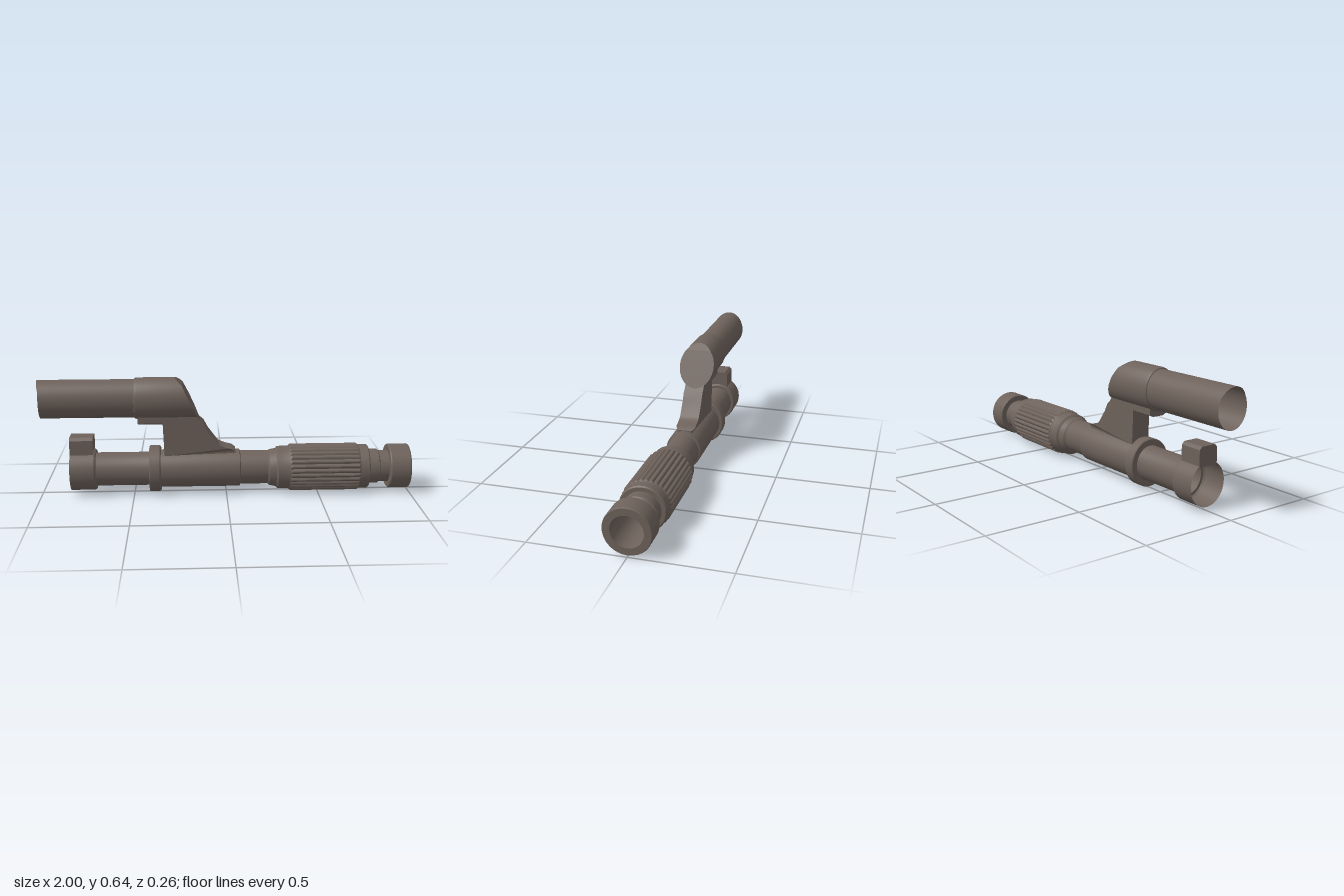
import * as THREE from 'three';
import { toCreasedNormals } from 'three/addons/utils/BufferGeometryUtils.js';

const AXIS_Y = 0.13;      // front tube axis
const REAR_Y = 0.133;     // rear tube axis
const UPPER_Y = 0.527;    // upper tube axis
const SLEEVE_R = 0.112;
const UPPER_WIDTH = 0.862; // width to height of the oval upper tube
const REAR_WIDTH = 0.935;  // width to height of the oval rear tube
const material = new THREE.MeshStandardMaterial({ color: 0x6e625b, side: THREE.DoubleSide });

function part(group, name, geometry, y = 0) {
  const mesh = new THREE.Mesh(toCreasedNormals(geometry, 0.4), material);
  mesh.name = name;
  mesh.position.y = y;
  group.add(mesh);
}

// Lathe around the x axis from [x, radius] pairs
function turned(profile, width = 1) {
  const points = profile.map(([x, r]) => new THREE.Vector2(r, x));
  return new THREE.LatheGeometry(points, 48).rotateZ(-Math.PI / 2).scale(1, 1, width);
}

function polygon(points) {
  return new THREE.Shape(points.map(([x, y]) => new THREE.Vector2(x, y)));
}

// Extrude a cross-section along x, starting at x0
function extrudeX(shape, x0, length) {
  return new THREE.ExtrudeGeometry(shape, { depth: length, bevelEnabled: false })
    .rotateY(Math.PI / 2).translate(x0, 0, 0);
}

// Front end of the sleeve: an oblique cut with a steeper chamfer at the top
function sleeveFront(y) {
  const above = y - SLEEVE_R * Math.SQRT1_2;
  return -0.235 - above * (above > 0 ? 1.15 : 0.475);
}

export function createModel() {
  const group = new THREE.Group();
  group.name = 'barrelAssembly';

  // Rear tube with collar and thicker middle
  part(group, 'rearTube', turned([
    [-0.84, 0.113], [-0.712, 0.113], [-0.703, 0.106], [-0.703, 0.091],
    [-0.42, 0.091], [-0.36, 0.103], [0.072, 0.103], [0.076, 0.092], [0.23, 0.092],
  ], REAR_WIDTH), REAR_Y);

  // Clamp ring
  part(group, 'clampRing', turned([
    [-0.416, 0.09], [-0.416, 0.122], [-0.412, 0.126],
    [-0.36, 0.126], [-0.354, 0.12], [-0.354, 0.1],
  ], REAR_WIDTH), REAR_Y);

  // Front tube: stepped body, muzzle collar and bore
  part(group, 'frontTube', turned([
    [0.225, 0.088], [0.235, 0.098], [0.27, 0.105], [0.28, 0.116],
    [0.335, 0.117], [0.345, 0.12], [0.77, 0.12], [0.776, 0.114],
    [0.776, 0.094], [0.83, 0.094], [0.836, 0.086], [0.887, 0.086],
    [0.887, 0.116], [0.893, 0.121], [0.994, 0.121], [1, 0.118],
    [1, 0.082], [0.6, 0.082],
  ]), AXIS_Y);

  // Ribbed grip: shallow ribs with sloping ends
  const ribs = 30;
  const ribPoints = [];
  for (let i = 0; i < ribs; i++) {
    [[0, 0.1205], [0.3, 0.127], [0.5, 0.1285], [0.7, 0.127]].forEach(([t, r]) => {
      const a = ((i + t) / ribs) * Math.PI * 2;
      ribPoints.push([r * Math.cos(a), r * Math.sin(a)]);
    });
  }
  const ribShape = polygon(ribPoints);
  ribShape.holes.push(new THREE.Path().absarc(0, 0, 0.1, 0, Math.PI * 2, true));
  const grip = extrudeX(ribShape, 0.342, 0.382);
  const g = grip.attributes.position;
  for (let i = 0; i < g.count; i++) {
    const end = g.getX(i) < 0.5 ? -1 : 1;
    if (Math.hypot(g.getY(i), g.getZ(i)) > 0.124) g.setX(i, g.getX(i) - end * 0.01);
  }
  part(group, 'ribbedGrip', grip, AXIS_Y);

  // Rear block with chamfered top
  part(group, 'rearBlock', extrudeX(polygon([
    [-0.055, 0.222], [0.055, 0.222], [0.055, 0.308],
    [0.04, 0.323], [-0.04, 0.323], [-0.055, 0.308],
  ]), -0.84, 0.125));

  // Upper tube and sleeve, oval in section
  const upper = turned([
    [-1, 0.103], [-0.49, 0.103], [-0.488, 0.108], [-0.475, SLEEVE_R], [-0.2, SLEEVE_R],
  ], UPPER_WIDTH);
  const p = upper.attributes.position;
  for (let i = 0; i < p.count; i++) {
    const y = p.getY(i);
    if (p.getX(i) > -0.3) p.setX(i, sleeveFront(y));
    else if (p.getX(i) < -0.9) p.setX(i, -1 + Math.min(0.013, (0.103 - y) * 0.25));
  }
  part(group, 'upperTube', upper, UPPER_Y);

  // Cut face closing the sleeve, in rows that match the sleeve's rim
  const rows = 24;
  const face = new THREE.PlaneGeometry(2, 2, 1, rows);
  const f = face.attributes.position;
  for (let i = 0; i < f.count; i++) {
    const angle = (Math.floor(i / 2) / rows) * Math.PI;
    const y = SLEEVE_R * Math.cos(angle);
    const halfWidth = SLEEVE_R * Math.sin(angle) * UPPER_WIDTH;
    f.setXYZ(i, sleeveFront(y), y, -f.getX(i) * halfWidth);
  }
  part(group, 'sleeveFace', face, UPPER_Y);

  // Lug under the sleeve
  part(group, 'sleeveLug', extrudeX(polygon([
    [-0.053, 0.4], [-0.03, 0.389], [0.03, 0.389], [0.053, 0.4],
    [0.053, 0.45], [-0.053, 0.45],
  ]), -0.472, 0.15));

  // Post joining the tubes, with a curved ramp that narrows at its tip
  const postShape = polygon([[-0.333, 0.216], [0.05, 0.216], [0.05, 0.24], [0.03, 0.252]]);
  postShape.quadraticCurveTo(-0.035, 0.265, -0.05, 0.285);
  postShape.lineTo(-0.098, 0.35);
  postShape.lineTo(-0.122, 0.395);
  postShape.lineTo(-0.143, 0.413);
  postShape.lineTo(-0.168, 0.45);
  postShape.lineTo(-0.34, 0.45);
  postShape.lineTo(-0.34, 0.395);
  const post = new THREE.ExtrudeGeometry(postShape, {
    depth: 0.106, bevelEnabled: false, curveSegments: 6,
  }).translate(0, 0, -0.053);
  const q = post.attributes.position;
  for (let i = 0; i < q.count; i++) {
    if (q.getX(i) > 0.04) q.setZ(i, q.getZ(i) * 0.75);
  }
  part(group, 'post', post);

  return group;
}
